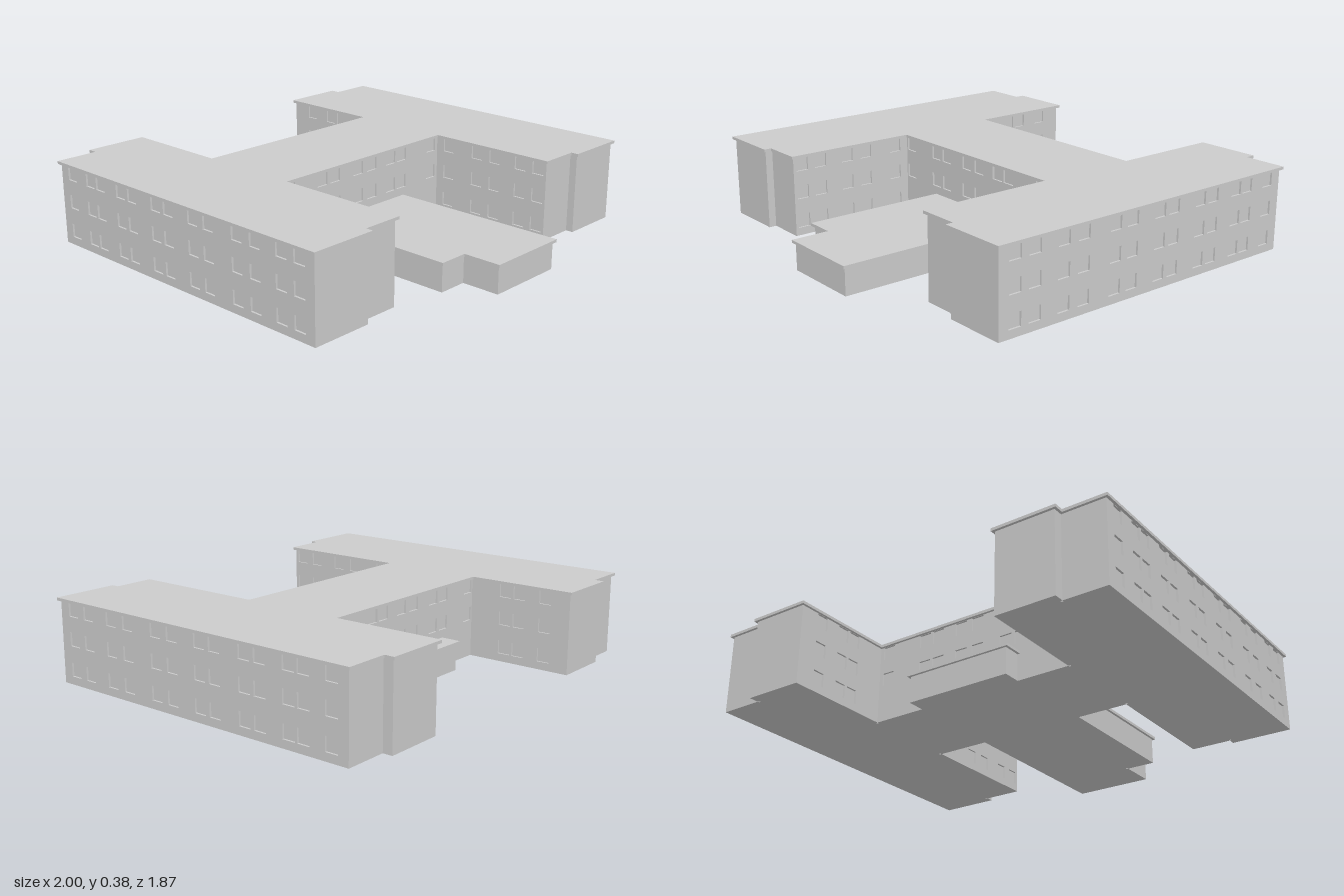
import * as THREE from 'three';

const material = new THREE.MeshStandardMaterial({ color: 0xcccccc, flatShading: true });
const EAVE = 0.012, RECESS = 0.009, ROOF = 0.013;

function addMesh(group, geometry, name) {
  const mesh = new THREE.Mesh(geometry, material);
  mesh.name = name;
  group.add(mesh);
  return mesh;
}

// Outward direction of the edge from a to b (outlines run front, +x side, back, -x side)
function outward(a, b) {
  const d = new THREE.Vector2(b[0] - a[0], b[1] - a[1]).normalize();
  return [-d.y, d.x];
}

// Shrink a right-angled [x, z] outline by t on every side
function inset(points, t) {
  return points.map((p, i) => {
    const n1 = outward(points.at(i - 1), p);
    const n2 = outward(p, points[(i + 1) % points.length]);
    return [p[0] - t * (n1[0] + n2[0]), p[1] - t * (n1[1] + n2[1])];
  });
}

// Upright prism over an [x, z] outline
function slab(points, y, height) {
  const shape = new THREE.Shape(points.map(([x, z]) => new THREE.Vector2(x, -z)));
  return new THREE.ExtrudeGeometry(shape, { depth: height, bevelEnabled: false })
    .rotateX(-Math.PI / 2).translate(0, y, 0);
}

// Facade panel from a to b with window openings; at = positions along the wall axis
function facade(a, b, height, windows) {
  const dx = b[0] - a[0], dz = b[1] - a[1], length = Math.hypot(dx, dz);
  const shape = new THREE.Shape();
  shape.moveTo(0, 0).lineTo(length, 0).lineTo(length, height).lineTo(0, height).closePath();
  const axis = Math.abs(dx) > Math.abs(dz) ? 0 : 1;
  for (const at of windows?.at ?? []) {
    const s = Math.abs(at - a[axis]), w = windows.width / 2;
    for (const y of windows.floors) {
      const hole = new THREE.Path();
      hole.moveTo(s - w, y).lineTo(s - w, y + 0.063).lineTo(s + w, y + 0.063).lineTo(s + w, y).closePath();
      shape.holes.push(hole);
    }
  }
  const [nx, nz] = outward(a, b);
  const geometry = new THREE.ExtrudeGeometry(shape, { depth: RECESS, bevelEnabled: false });
  const along = new THREE.Vector3(dx, 0, dz).normalize();
  const matrix = new THREE.Matrix4().makeBasis(along, new THREE.Vector3(0, 1, 0), new THREE.Vector3(nx, 0, nz));
  matrix.setPosition(a[0] - nx * RECESS, 0, a[1] - nz * RECESS);
  return geometry.applyMatrix4(matrix);
}

// One block: inner core, facades on every side, overhanging flat roof
function building(name, outline, wallHeight, windowsByEdge = {}) {
  const group = new THREE.Group();
  group.name = name;
  const walls = inset(outline, EAVE);
  addMesh(group, slab(inset(walls, RECESS), 0, wallHeight), name + 'Core');
  walls.forEach((a, i) => {
    const b = walls[(i + 1) % walls.length];
    addMesh(group, facade(a, b, wallHeight, windowsByEdge[i]), name + 'Wall');
  });
  addMesh(group, slab(outline, wallHeight, ROOF), name + 'Roof');
  return group;
}

export function createModel() {
  const model = new THREE.Group();
  model.name = 'building';

  // H-shaped main block; the -x half mirrors the +x half
  const half = [
    [0.5, 0.07], [0.5, 0.705], [0.69, 0.705], [0.69, 0.74], [1, 0.74],
    [1, -0.89], [0.8, -0.89], [0.8, -0.935], [0.5, -0.935], [0.5, -0.42],
  ];
  const outline = [...half, ...half.map(([x, z]) => [-x, z]).reverse()];

  // Window layouts
  const three = [0.037, 0.175, 0.308], two = three.slice(1);
  const side = {
    at: [0.648, 0.55, 0.404, 0.3, 0.13, 0.035, -0.122, -0.204, -0.364, -0.444, -0.59, -0.663, -0.798],
    floors: three, width: 0.061,
  };
  const frontCourt = { ...side, at: side.at.slice(0, 5) };
  const backCourt = { ...side, at: side.at.slice(10) };
  const middle = {
    at: [-0.473, -0.275, -0.195, -0.045, 0.045, 0.174, 0.249, 0.463],
    floors: two, width: 0.063,
  };
  model.add(building('mainBlock', outline, 0.372, {
    0: frontCourt, 4: side, 8: backCourt, 9: middle,
    10: backCourt, 14: side, 18: frontCourt, 19: middle,
  }));

  // Single-storey front hall with a stepped corner
  model.add(building('frontHall', [
    [-0.28, 0.75], [-0.14, 0.75], [-0.14, 0.93], [0.265, 0.93], [0.265, 0.04], [-0.28, 0.04],
  ], 0.124));

  // Shallow single-storey annex at the back
  model.add(building('backAnnex', [
    [-0.272, -0.38], [0.265, -0.38], [0.265, -0.505], [-0.272, -0.505],
  ], 0.124));

  return model;
}
